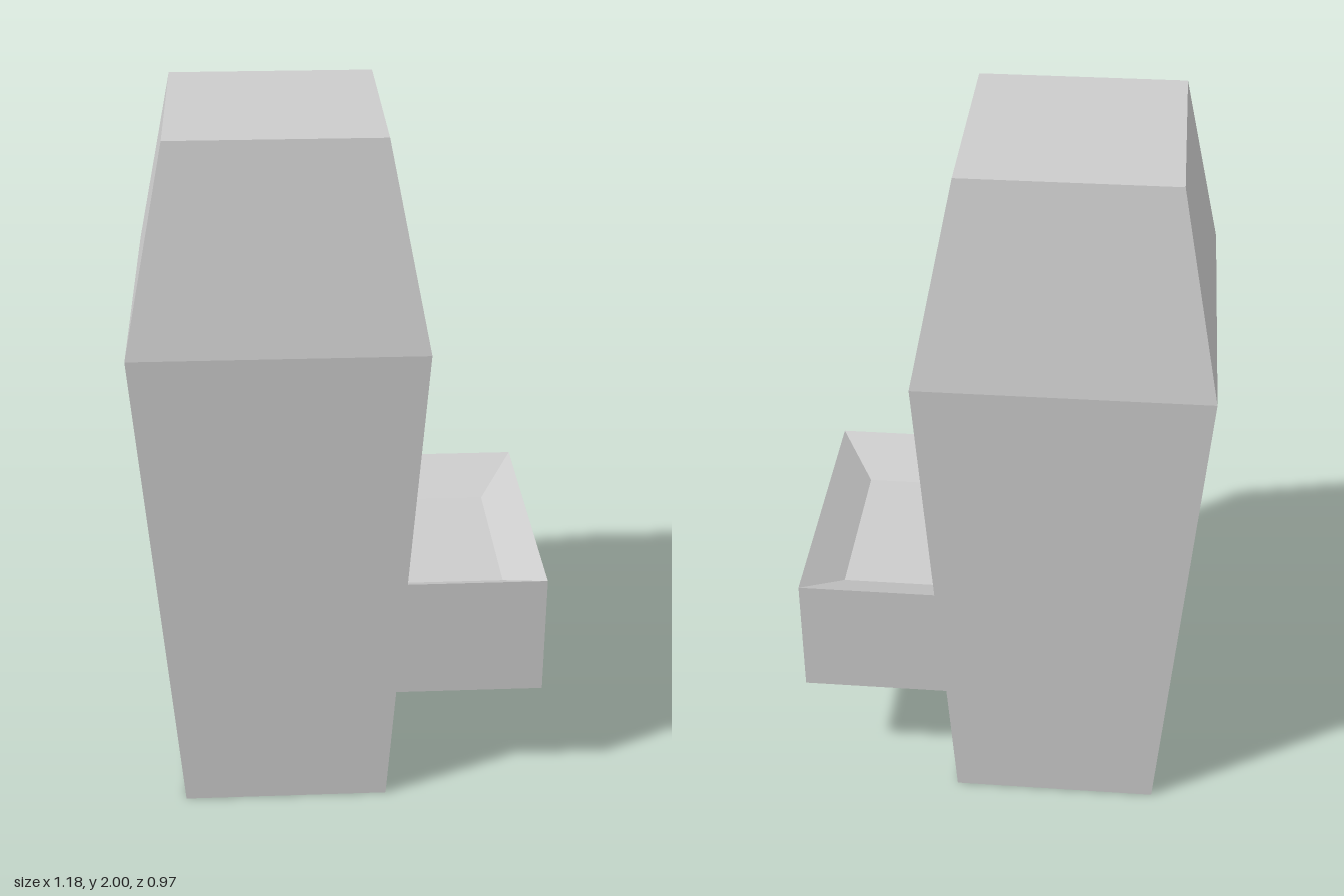
import * as THREE from 'three';

const material = new THREE.MeshStandardMaterial({ color: 0xcccccc, flatShading: true, side: THREE.DoubleSide });

// Slanted front panel on the +x side
const SLOPE = 0.11 / 1.435;
const panelX = (y) => 0.12 + SLOPE * y;

function add(parent, name, geometry) {
  const mesh = new THREE.Mesh(geometry, material);
  mesh.name = name;
  parent.add(mesh);
  return mesh;
}

// Flat polygons, corners counter-clockwise from outside
function polygons(faces) {
  const pos = [];
  for (const f of faces)
    for (let i = 1; i < f.length - 1; i++) pos.push(...f[0], ...f[i], ...f[i + 1]);
  const g = new THREE.BufferGeometry();
  g.setAttribute('position', new THREE.Float32BufferAttribute(pos, 3));
  g.computeVertexNormals();
  return g;
}

// Joins rectangular rings [x0, x1, halfDepth, y] and caps both ends
function loft(rings, skip = () => false) {
  const loops = rings.map(([x0, x1, d, y]) => [[x0, y, d], [x1, y, d], [x1, y, -d], [x0, y, -d]]);
  const faces = [[...loops[0]].reverse(), loops[loops.length - 1]];
  for (let r = 0; r < loops.length - 1; r++)
    for (let i = 0; i < 4; i++) {
      const j = (i + 1) % 4;
      if (!skip(r, i)) faces.push([loops[r][i], loops[r][j], loops[r + 1][j], loops[r + 1][i]]);
    }
  return polygons(faces);
}

function roundedPlate(w, h, r, depth) {
  const s = new THREE.Shape();
  const x = w / 2, y = h / 2;
  s.moveTo(-x + r, -y);
  s.lineTo(x - r, -y); s.lineTo(x, -y + r);
  s.lineTo(x, y - r); s.lineTo(x - r, y);
  s.lineTo(-x + r, y); s.lineTo(-x, y - r);
  s.lineTo(-x, -y + r);
  s.closePath();
  return new THREE.ExtrudeGeometry(s, { depth, bevelEnabled: false }).rotateY(Math.PI / 2);
}

export function createModel() {
  const model = new THREE.Group();
  model.name = 'dispensingCabinet';

  // Cabinet: widens up to the shoulder, then tapers to the top
  add(model, 'cabinetShell', loft([
    [-0.48, 0.12, 0.487, 0],
    [-0.595, 0.23, 0.487, 1.435],
    [-0.48, 0.12, 0.345, 2],
  ], (ring, side) => ring === 0 && side === 1));

  // Slanted panel with the drawer opening
  const W = 0.42, Y0 = 0.315, Y1 = 0.785, RIM = 0.685;
  const shape = new THREE.Shape([[-0.487, 0], [0.487, 0], [0.487, 1.435], [-0.487, 1.435]]
    .map((p) => new THREE.Vector2(...p)));
  shape.holes.push(new THREE.Path([[-W, Y0], [-W, Y1], [W, Y1], [W, Y0]]
    .map((p) => new THREE.Vector2(...p))));
  const panel = new THREE.ShapeGeometry(shape);
  const p = panel.attributes.position;
  for (let i = 0; i < p.count; i++) {
    const u = p.getX(i), y = p.getY(i);
    p.setXYZ(i, panelX(y), y, -u);
  }
  panel.computeVertexNormals();
  add(model, 'slantedPanel', panel);

  // Sloping lining above the drawer, with its two cheeks
  const top = panelX(Y1), low = panelX(RIM);
  add(model, 'openingLining', polygons([
    [[0, RIM, W], [0, RIM, -W], [top, Y1, -W], [top, Y1, W]],
    [[0, RIM, -W], [low, RIM, -W], [top, Y1, -W]],
    [[0, RIM, W], [top, Y1, W], [low, RIM, W]],
  ]));

  // Pulled-out drawer with a shallow bevelled tray
  add(model, 'drawer', loft([
    [0, 0.59, W, Y0],
    [0, 0.59, W, RIM],
    [0.107, 0.482, 0.265, 0.6],
  ]));

  // Controls lie flat on the slanted panel
  const place = (name, y, z) => {
    const g = new THREE.Group();
    g.name = name;
    g.position.set(panelX(y), y, z);
    g.rotation.z = -Math.atan(SLOPE);
    model.add(g);
    return g;
  };

  const slot = place('cardSlot', 1.325, -0.358);
  add(slot, 'slotPlate', roundedPlate(0.032, 0.13, 0.006, 0.004));

  const keypad = place('keypad', 1.165, -0.338);
  add(keypad, 'keypadPlate', new THREE.BoxGeometry(0.008, 0.15, 0.135));
  for (let row = 0; row < 4; row++)
    for (let col = 0; col < 3; col++)
      add(keypad, 'key', new THREE.BoxGeometry(0.008, 0.022, 0.024))
        .position.set(0.006, 0.052 - row * 0.035, 0.036 - col * 0.036);

  return model;
}
